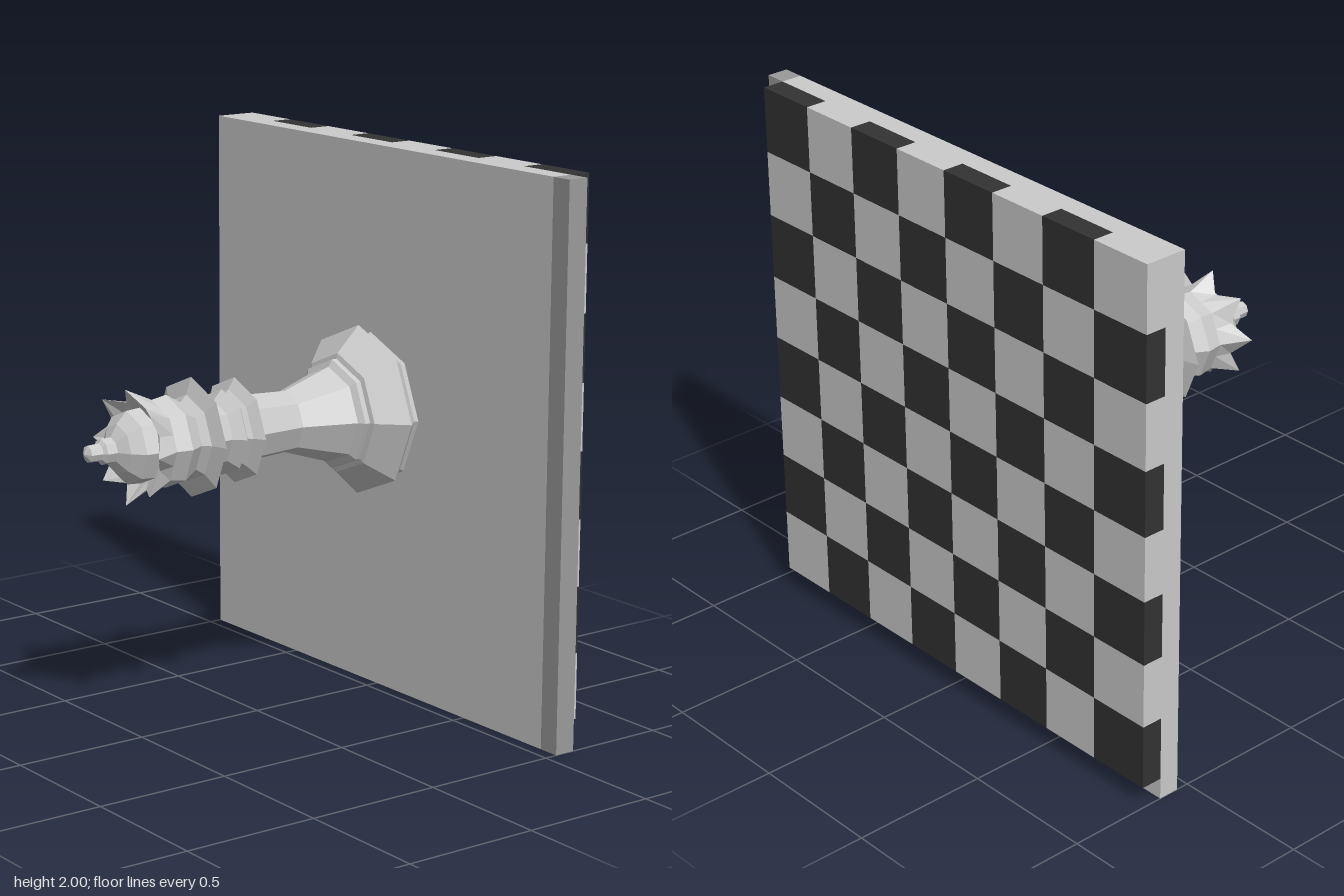
import * as THREE from 'three';

const SIDES = 8;
const AXIS_X = -0.04;
const AXIS_Y = 1.04;

function material(color, side = THREE.FrontSide) {
  return new THREE.MeshStandardMaterial({ color, flatShading: true, side });
}

// Box given by its low and high corners
function box(name, lo, hi, mat) {
  const size = hi.map((v, i) => v - lo[i]);
  const mesh = new THREE.Mesh(new THREE.BoxGeometry(...size), mat);
  mesh.position.set(...hi.map((v, i) => (v + lo[i]) / 2));
  mesh.name = name;
  return mesh;
}

// Eight-sided turned part along z; profile is [z, radius] pairs, back to front
function turned(name, profile, mat) {
  const points = profile.map(([z, r]) => new THREE.Vector2(r, z));
  const geometry = new THREE.LatheGeometry(points, SIDES);
  geometry.rotateX(Math.PI / 2);
  const mesh = new THREE.Mesh(geometry, mat);
  mesh.name = name;
  return mesh;
}

// Flared ring whose front rim alternates between points and notches
function crownRing(mat) {
  const count = SIDES * 2;
  const positions = [];
  const index = [];
  for (let i = 0; i < count; i++) {
    const a = (i / count) * Math.PI * 2;
    const tip = i % 2 === 0;
    const flat = tip ? 1 : Math.cos(Math.PI / SIDES);
    const rings = [
      [0.42, 0.155 * flat],
      tip ? [0.53, 0.205] : [0.485, 0.155],
      [0.47, 0.135 * flat],
    ];
    for (const [z, r] of rings) positions.push(r * Math.cos(a), r * Math.sin(a), z);
    const n = ((i + 1) % count) * 3;
    const c = i * 3;
    for (let k = 0; k < 2; k++) {
      index.push(c + k, n + k, n + k + 1, c + k, n + k + 1, c + k + 1);
    }
  }
  const geometry = new THREE.BufferGeometry();
  geometry.setAttribute('position', new THREE.Float32BufferAttribute(positions, 3));
  geometry.setIndex(index);
  geometry.computeVertexNormals();
  const mesh = new THREE.Mesh(geometry, mat);
  mesh.name = 'crownPoints';
  return mesh;
}

function createBoard(light) {
  const board = new THREE.Group();
  board.name = 'board';
  const dark = material(0x333333);
  const trim = material(0x9b9b9b);

  // Backing slab and its darker edge strip
  board.add(box('backingSlab', [-1, 0, -0.625], [0.92, 2, -0.547], light));
  board.add(box('edgeStrip', [0.92, 0, -0.625], [1, 2, -0.547], trim));

  // Eight by eight squares on the back
  const step = 0.24;
  for (let row = 0; row < 8; row++) {
    for (let col = 0; col < 8; col++) {
      const x = -1 + col * step;
      const y = 2 - row * step;
      const isDark = (row + col) % 2 === 1;
      board.add(box(isDark ? 'darkSquare' : 'lightSquare',
        [x, y - step, -0.705], [x + step, y, -0.625], isDark ? dark : light));
    }
  }
  return board;
}

function createPiece(light) {
  const piece = new THREE.Group();
  piece.name = 'chessPiece';
  piece.position.set(AXIS_X, AXIS_Y, 0);
  const thin = material(0xcccccc, THREE.DoubleSide);

  piece.add(turned('base', [
    [-0.547, 0.24], [-0.535, 0.28], [-0.525, 0.27], [-0.48, 0.312],
    [-0.385, 0.22], [-0.38, 0.2], [-0.36, 0.2], [-0.345, 0.175],
  ], light));
  piece.add(turned('stem', [[-0.345, 0.175], [-0.15, 0.112], [0.04, 0.122]], light));
  piece.add(turned('lowerCollar', [
    [0.035, 0.12], [0.07, 0.19], [0.095, 0.15], [0.11, 0.135],
    [0.125, 0.155], [0.16, 0.118], [0.2, 0.122],
  ], light));
  piece.add(turned('upperCollar', [
    [0.2, 0.122], [0.235, 0.145], [0.255, 0.215], [0.275, 0.155], [0.3, 0.13],
  ], light));
  piece.add(turned('head', [
    [0.3, 0.13], [0.36, 0.165], [0.42, 0.155], [0.47, 0.135],
  ], light));
  piece.add(crownRing(thin));
  piece.add(turned('dome', [
    [0.46, 0.135], [0.525, 0.13], [0.565, 0.09], [0.6, 0.03],
  ], light));
  piece.add(turned('finial', [
    [0.575, 0.03], [0.59, 0.046], [0.63, 0.046], [0.64, 0.032],
    [0.685, 0.03], [0.7, 0],
  ], light));
  return piece;
}

export function createModel() {
  const model = new THREE.Group();
  model.name = 'chessPieceOnBoard';
  const light = material(0xcccccc);
  model.add(createBoard(light), createPiece(light));
  return model;
}
